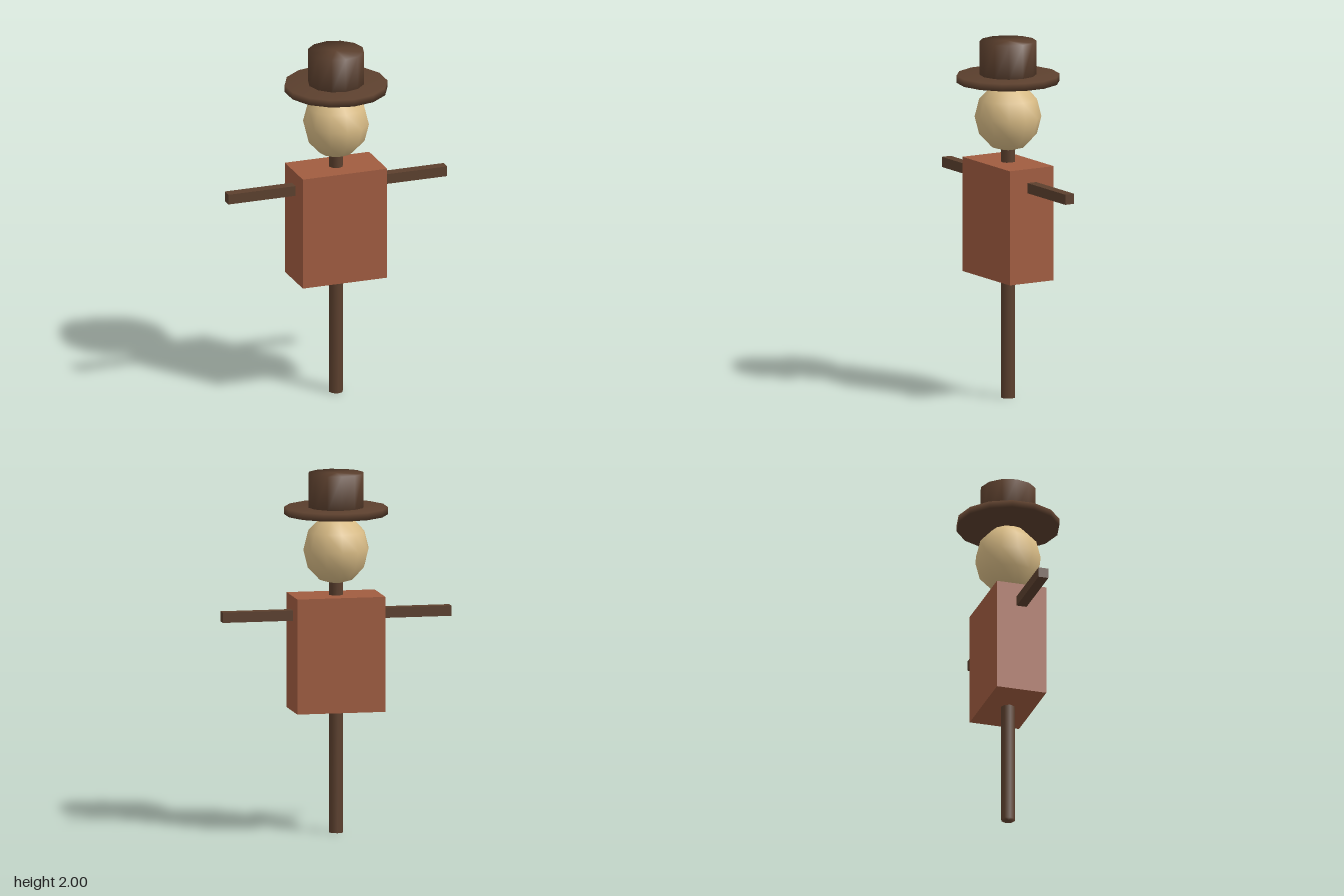
import * as THREE from 'three';
import { mergeVertices } from 'three/addons/utils/BufferGeometryUtils.js';

// Weld a geometry and blend its normals across every edge
function soften(geometry) {
  geometry.deleteAttribute('uv');
  geometry.deleteAttribute('normal');
  const welded = mergeVertices(geometry, 1e-4);
  welded.computeVertexNormals();
  return welded;
}

// Soft-shaded cylinder standing between two heights
function post(radius, bottom, top, sides) {
  const geometry = new THREE.CylinderGeometry(radius, radius, top - bottom, sides);
  geometry.translate(0, (top + bottom) / 2, 0);
  return soften(geometry);
}

export function createModel() {
  const material = (name, color) => {
    const m = new THREE.MeshStandardMaterial({ color });
    m.name = name;
    return m;
  };
  const wood = material('brownWood', 0x5c402e);
  const cloth = material('rustCloth', 0xa05c40);
  const burlap = material('paleBurlap', 0xd8bb85);

  const model = new THREE.Group();
  model.name = 'scarecrow';
  const add = (name, geometry, mat, y = 0) => {
    const mesh = new THREE.Mesh(geometry, mat);
    mesh.name = name;
    mesh.position.y = y;
    model.add(mesh);
    return mesh;
  };

  // Upright pole, running through the body into the head
  add('pole', post(0.04, 0, 1.43, 8), wood);

  // Crossbar forming both arms
  add('armBar', new THREE.BoxGeometry(1.285, 0.057, 0.057), wood, 1.217);

  // Box-shaped shirt
  add('shirt', new THREE.BoxGeometry(0.495, 0.64, 0.285), cloth, 1.003);

  // Faceted head, slightly taller than wide
  const head = new THREE.SphereGeometry(0.184, 12, 6);
  head.scale(1, 1.06, 1);
  add('head', soften(head), burlap, 1.577);

  // Hat
  add('hatBrim', post(0.285, 1.77, 1.811, 14), wood);
  add('hatCrown', post(0.156, 1.8, 2, 12), wood);

  return model;
}
